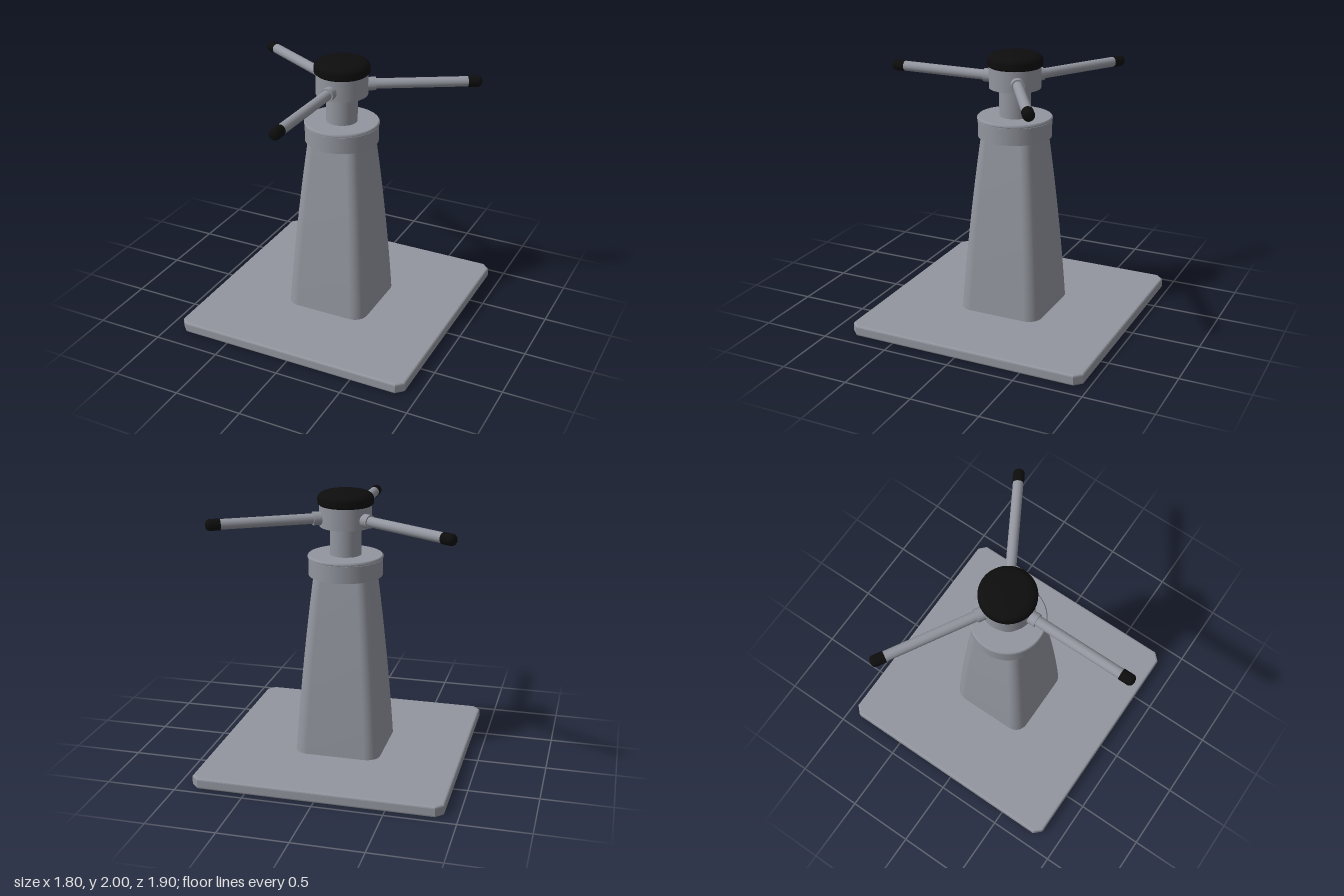
import * as THREE from 'three';

const metal = new THREE.MeshStandardMaterial({ color: 0x92959e });
metal.name = 'grey metal';
const rubber = new THREE.MeshStandardMaterial({ color: 0x0d0d0d });
rubber.name = 'black rubber';

function part(name, geometry, material, parent) {
  const mesh = new THREE.Mesh(geometry, material);
  mesh.name = name;
  parent.add(mesh);
  return mesh;
}

// Turned part: each [radius, y] run is lathed apart so edges between runs stay sharp
function turned(name, runs, material, parent, segments = 48) {
  const group = new THREE.Group();
  group.name = name;
  parent.add(group);
  for (const run of runs) {
    const points = run.map(([r, y]) => new THREE.Vector2(r, y));
    part(name + 'Surface', new THREE.LatheGeometry(points, segments), material, group);
  }
  return group;
}

// Quarter-round from the side wall to the flat end
function roundOver(r, y, radius, height, steps = 8) {
  return Array.from({ length: steps + 1 }, (_, i) => {
    const a = (i / steps) * Math.PI / 2;
    return [r - radius + radius * Math.cos(a), y + height * Math.sin(a)];
  });
}

// Square plate with clipped corners and softened edges
function plateGeometry() {
  const b = 0.015, h = 0.9 - b, c = h - 0.045;
  const shape = new THREE.Shape([
    [c, -h], [h, -c], [h, c], [c, h], [-c, h], [-h, c], [-h, -c], [-c, -h],
  ].map(([x, y]) => new THREE.Vector2(x, y)));
  const g = new THREE.ExtrudeGeometry(shape, {
    depth: 0.08 - 2 * b, bevelEnabled: true, bevelSize: b, bevelThickness: b, bevelSegments: 3,
  });
  return g.translate(0, 0, b).rotateX(-Math.PI / 2);
}

// Rounded-square column, narrowing upwards with a slight bulge
function columnGeometry() {
  const levels = 12, arc = 8, ring = 4 * (arc + 1);
  const positions = [], indices = [];
  for (let l = 0; l <= levels; l++) {
    const t = l / levels;
    const half = 0.317 - 0.082 * t - 0.033 * t * t;
    const r = 0.1 - 0.025 * t;
    for (let k = 0; k < 4; k++) {
      const sx = k === 0 || k === 3 ? 1 : -1, sz = k < 2 ? 1 : -1;
      for (let i = 0; i <= arc; i++) {
        const a = (k + i / arc) * Math.PI / 2;
        positions.push(sx * (half - r) + r * Math.cos(a), 0.07 + 1.33 * t, sz * (half - r) + r * Math.sin(a));
      }
    }
  }
  for (let l = 0; l < levels; l++) {
    for (let i = 0; i < ring; i++) {
      const a = l * ring + i, b = l * ring + (i + 1) % ring;
      indices.push(a, a + ring, b, b, a + ring, b + ring);
    }
  }
  const g = new THREE.BufferGeometry();
  g.setAttribute('position', new THREE.Float32BufferAttribute(positions, 3));
  g.setIndex(indices);
  g.computeVertexNormals();
  return g;
}

export function createModel() {
  const model = new THREE.Group();
  model.name = 'handwheelStand';
  const stand = new THREE.Group();
  stand.name = 'stand';
  stand.position.z = -0.05;
  model.add(stand);

  part('basePlate', plateGeometry(), metal, stand);
  part('column', columnGeometry(), metal, stand);

  // Collar with a thin groove below its lip
  turned('collar', [
    [[0, 1.385], [0.268, 1.385]],
    [[0.268, 1.385], [0.268, 1.507]],
    [[0.268, 1.507], [0.262, 1.511], [0.273, 1.515]],
    [[0.273, 1.515], [0.273, 1.525], [0.265, 1.533]],
    [[0.265, 1.533], [0, 1.533]],
  ], metal, stand);

  const shaft = part('shaft', new THREE.CylinderGeometry(0.113, 0.113, 0.23, 48), metal, stand);
  shaft.position.y = 1.64;
  const hub = part('hub', new THREE.CylinderGeometry(0.187, 0.187, 0.16, 48), metal, stand);
  hub.position.y = 1.82;

  // Domed knob on top of the hub
  turned('topKnob', [
    [[0, 1.893], [0.187, 1.893], [0.2, 1.905]],
    [[0.2, 1.905], ...roundOver(0.2, 1.94, 0.08, 0.05), [0.06, 1.998], [0, 2]],
  ], rubber, stand);

  // Three spokes with rubber grips, pointing outwards along their own y axis
  for (let i = 0; i < 3; i++) {
    const pivot = new THREE.Group();
    pivot.name = 'spoke' + (i + 1);
    pivot.position.y = 1.805;
    pivot.rotation.y = i * Math.PI * 2 / 3;
    stand.add(pivot);
    const spoke = new THREE.Group();
    spoke.name = 'spokeParts';
    spoke.rotation.x = Math.PI / 2;
    pivot.add(spoke);

    const boss = part('spokeBoss', new THREE.CylinderGeometry(0.048, 0.048, 0.09, 24), metal, spoke);
    boss.position.y = 0.195;
    const rod = part('spokeRod', new THREE.CylinderGeometry(0.037, 0.037, 0.72, 24), metal, spoke);
    rod.position.y = 0.56;
    turned('spokeGrip', [
      [[0, 0.897], [0.041, 0.897]],
      [[0.041, 0.897], ...roundOver(0.041, 0.967, 0.028, 0.03), [0, 1]],
    ], rubber, spoke, 24);
  }
  return model;
}
